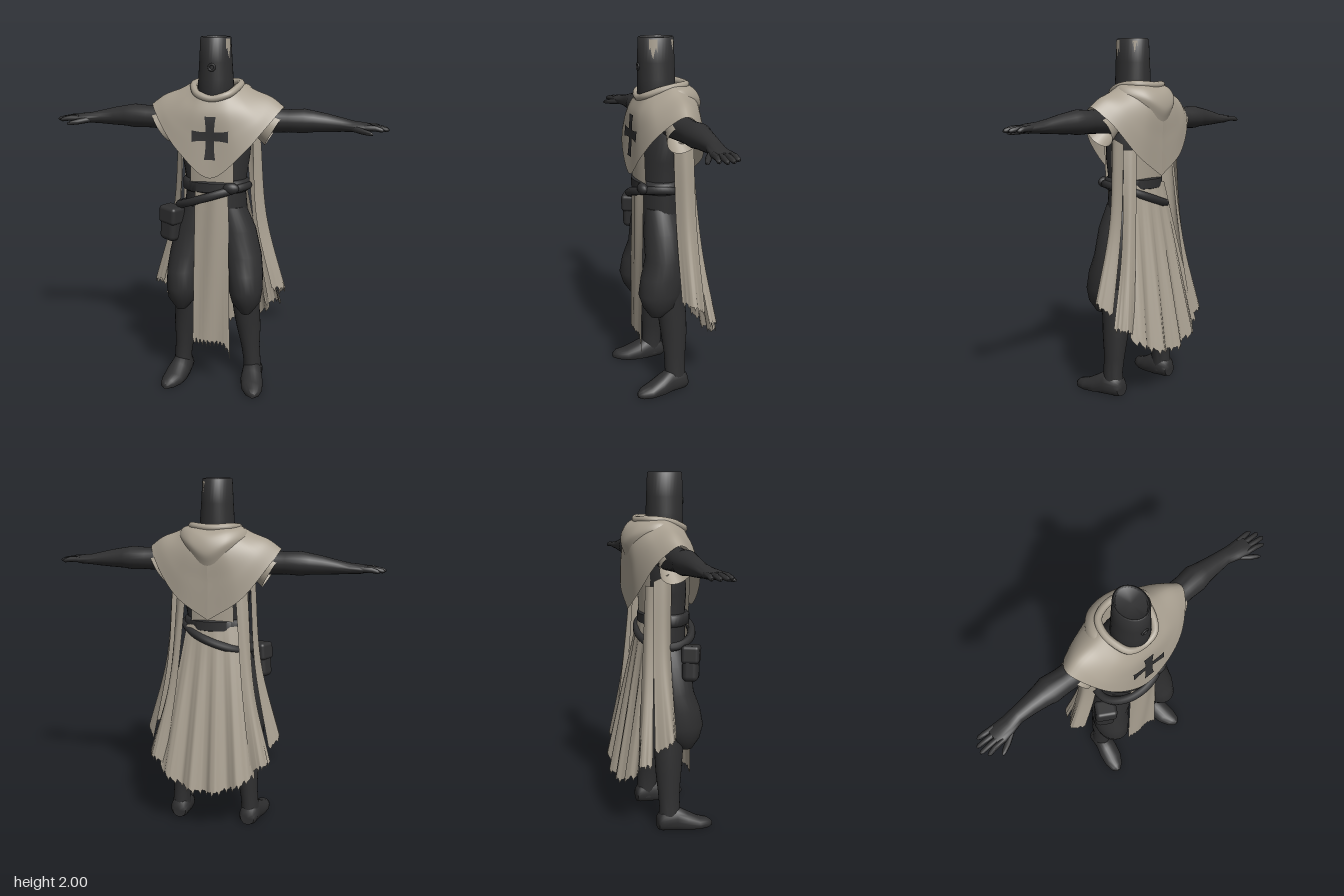
import * as THREE from 'three';
import { toCreasedNormals } from 'three/addons/utils/BufferGeometryUtils.js';
import { RoundedBoxGeometry } from 'three/addons/geometries/RoundedBoxGeometry.js';

const V = (p) => new THREE.Vector3(...p);

// grid surface from fn(u, v) -> [x, y, z]
function sheet(nu, nv, fn) {
  const pos = [], idx = [];
  for (let j = 0; j <= nv; j++) for (let i = 0; i <= nu; i++) pos.push(...fn(i / nu, j / nv));
  for (let j = 0; j < nv; j++) for (let i = 0; i < nu; i++) {
    const a = j * (nu + 1) + i, b = a + 1, c = a + nu + 1, d = c + 1;
    idx.push(a, c, b, b, c, d);
  }
  const g = new THREE.BufferGeometry();
  g.setAttribute('position', new THREE.Float32BufferAttribute(pos, 3));
  g.setIndex(idx);
  g.computeVertexNormals();
  return g;
}

const jag = (u) => 0.012 * Math.sin(u * 23) + 0.009 * Math.sin(u * 47 + 1);

// smooth cloth through rows of control points, with a ragged last row
function net(rows, nu, nv, rag = 0) {
  const curves = rows.map((r) => new THREE.CatmullRomCurve3(r.map(V)));
  const columns = [];
  for (let i = 0; i <= nu; i++) columns.push(new THREE.CatmullRomCurve3(curves.map((c) => c.getPoint(i / nu))));
  return sheet(nu, nv, (u, v) => {
    const p = columns[Math.round(u * nu)].getPoint(v);
    p.y += rag * jag(u * 2) * v ** 4;
    return p.toArray();
  });
}

// mirror a half row that starts on the centre line
const both = (half) => [...half.slice(1).reverse().map(([x, y, z]) => [-x, y, z]), ...half];

// closed body from elliptical rings [x, y, z, a, b] across an axis
function loft(axis, rings, seg = 24, floor = -1) {
  const all = [[...rings[0].slice(0, 3), 0, 0], ...rings, [...rings.at(-1).slice(0, 3), 0, 0]];
  const g = sheet(seg, all.length - 1, (u, v) => {
    const [x, y, z, a, b] = all[Math.round(v * (all.length - 1))];
    const c = a * Math.cos(u * Math.PI * 2), s = b * Math.sin(u * Math.PI * 2);
    if (axis === 'y') return [x + c, y, z + s];
    if (axis === 'x') return [x, y + c, z + s];
    return [x + c, Math.max(floor, y + s), z];
  });
  // turn the faces outward
  const p = g.attributes.position, ix = g.index.array;
  const q = [0, 1, 2].map(() => new THREE.Vector3());
  const base = V(rings[0].slice(0, 3));
  let vol = 0;
  for (let i = 0; i < ix.length; i += 3) {
    q.forEach((w, k) => w.fromBufferAttribute(p, ix[i + k]).sub(base));
    vol += q[0].dot(q[1].clone().cross(q[2]));
  }
  if (vol < 0) flip(g);
  return toCreasedNormals(g, 0.9);
}

function flip(g) {
  const ix = g.index.array;
  for (let i = 0; i < ix.length; i += 3) [ix[i], ix[i + 1]] = [ix[i + 1], ix[i]];
}

export function createModel() {
  const root = new THREE.Group();
  const cloth = new THREE.MeshStandardMaterial({ color: 0xa89f90, side: THREE.DoubleSide });
  cloth.name = 'pale cloth';
  const dark = new THREE.MeshStandardMaterial({ color: 0x2f2f30 });
  dark.name = 'dark leather';
  const add = (name, geo, mat = dark) => {
    const m = new THREE.Mesh(geo, mat);
    m.name = name;
    root.add(m);
    return m;
  };

  // body and helmet
  add('torso', loft('y', [[0, 0.9, 0.06, 0.15, 0.1], [0, 1.05, 0.05, 0.18, 0.12], [0, 1.2, 0.05, 0.165, 0.115],
    [0, 1.35, 0.05, 0.19, 0.12], [0, 1.5, 0.03, 0.2, 0.13], [0, 1.6, 0.02, 0.17, 0.11], [0, 1.7, 0.03, 0.08, 0.08]], 32));
  add('helmet', loft('y', [[0, 1.62, 0.05, 0.085, 0.09], [0, 1.69, 0.055, 0.1, 0.105], [0, 1.78, 0.055, 0.095, 0.104],
    [0, 1.87, 0.056, 0.089, 0.102], [0, 1.995, 0.057, 0.082, 0.098], [0, 2, 0.057, 0.076, 0.092], [0, 1.99, 0.057, 0.068, 0.084]], 32));
  add('helmetRivet', new THREE.TorusGeometry(0.016, 0.006, 8, 20).translate(0, 1.845, 0.158));
  const scuff = (a0, a1, y0, y1) => add('helmetScuff', sheet(6, 3, (u, v) => {
    const a = a0 + (a1 - a0) * u, y = y1 + (y0 + 0.03 * Math.sin(u * 9) - y1) * v, k = (2 - y) * 0.054;
    return [(0.0845 + k) * Math.cos(a), y, 0.057 + (0.1 + k * 0.6) * Math.sin(a)];
  }), cloth);
  scuff(0.2, 0.65, 1.92, 1.992);
  scuff(-0.95, -0.65, 1.95, 1.985);

  // arms, hands, legs and feet on both sides
  for (const s of [1, -1]) {
    const side = s > 0 ? 'left' : 'right';
    const limb = (name, axis, rings, seg, floor) =>
      add(side + name, loft(axis, rings.map(([x, ...r]) => [x * s, ...r]), seg, floor));
    limb('Arm', 'x', [[0.12, 1.56, 0.02, 0.08, 0.08], [0.3, 1.555, 0.015, 0.066, 0.07], [0.4, 1.555, 0.01, 0.062, 0.068],
      [0.48, 1.556, 0.005, 0.066, 0.074], [0.53, 1.555, 0.005, 0.058, 0.062], [0.6, 1.55, 0.005, 0.05, 0.052],
      [0.68, 1.543, 0.005, 0.038, 0.044], [0.74, 1.538, 0.015, 0.029, 0.05], [0.8, 1.536, 0.02, 0.025, 0.056], [0.835, 1.536, 0.02, 0.016, 0.052]]);
    [[-0.02, -0.025, 0.9], [0.008, 0.008, 0.925], [0.036, 0.042, 0.93], [0.06, 0.073, 0.905]].forEach(([z0, z1, tip]) =>
      limb('Finger', 'x', [[0.8, 1.538, z0, 0.016, 0.014], [0.86, 1.537, (z0 + z1) / 2, 0.015, 0.014],
        [tip - 0.012, 1.53, z1, 0.012, 0.012], [tip, 1.528, z1, 0.005, 0.005]], 10));
    limb('Thumb', 'x', [[0.735, 1.532, 0.045, 0.018, 0.016], [0.79, 1.522, 0.08, 0.016, 0.018],
      [0.835, 1.515, 0.104, 0.012, 0.014], [0.85, 1.512, 0.112, 0.005, 0.006]], 10);
    limb('Trouser', 'y', [[0.09, 1.08, 0.06, 0.08, 0.09], [0.12, 0.95, 0.06, 0.11, 0.11], [0.155, 0.8, 0.065, 0.11, 0.108],
      [0.175, 0.7, 0.085, 0.102, 0.122], [0.182, 0.6, 0.1, 0.096, 0.125], [0.187, 0.53, 0.105, 0.082, 0.098], [0.19, 0.465, 0.12, 0.03, 0.04]]);
    limb('Boot', 'y', [[0.175, 0.62, 0.05, 0.08, 0.085], [0.175, 0.45, 0.025, 0.077, 0.082], [0.188, 0.34, 0.02, 0.07, 0.075],
      [0.2, 0.22, 0.018, 0.054, 0.063], [0.21, 0.13, 0.02, 0.05, 0.06], [0.212, 0.03, 0.015, 0.055, 0.062]]);
    limb('Foot', 'z', [[0.21, 0.04, -0.05, 0.04, 0.04], [0.212, 0.05, -0.03, 0.055, 0.06], [0.215, 0.05, 0.05, 0.058, 0.085],
      [0.225, 0.035, 0.11, 0.066, 0.065], [0.238, 0.02, 0.18, 0.062, 0.042], [0.25, 0.018, 0.235, 0.042, 0.032], [0.255, 0.015, 0.26, 0.015, 0.015]], 24, 0);

    // short sleeve
    const sleeve = new THREE.CylinderGeometry(0.075, 0.103, 0.13, 28, 3, true).scale(1, 1, 0.9);
    add(side + 'Sleeve', sleeve.rotateZ(s * 1.03).translate(s * 0.265, 1.54, 0.015), cloth);

    // long side drapes of the cape
    const drape = (name, rows) => add(side + name, net(rows.map((r) => r.map(([x, y, z]) => [x * s, y, z])), 20, 14, 1), cloth);
    drape('Drape', [[[0.2, 1.47, 0.03], [0.235, 1.46, -0.02], [0.22, 1.43, -0.08]],
      [[0.225, 1.0, 0.02], [0.275, 1.0, -0.03], [0.25, 1.0, -0.09]],
      [[0.32, 0.58, 0.02], [0.39, 0.57, -0.03], [0.34, 0.51, -0.11]]]);
    drape('RearDrape', [[[0.2, 1.4, -0.06], [0.17, 1.4, -0.09], [0.14, 1.4, -0.1]],
      [[0.25, 0.85, -0.09], [0.235, 0.85, -0.13], [0.19, 0.85, -0.14]],
      [[0.355, 0.44, -0.13], [0.32, 0.43, -0.19], [0.25, 0.4, -0.18]]]);
  }

  // shoulder mantle, from collar down to the pointed hem
  const mantle = add('mantle', net([
    [[0, 1.68, 0.16], [0.08, 1.7, 0.14], [0.12, 1.73, 0.08], [0.135, 1.755, 0.01], [0.11, 1.76, -0.06], [0.06, 1.755, -0.1], [0, 1.755, -0.11]],
    [[0, 1.6, 0.19], [0.1, 1.61, 0.18], [0.18, 1.65, 0.13], [0.21, 1.715, 0.01], [0.18, 1.68, -0.09], [0.1, 1.64, -0.15], [0, 1.63, -0.165]],
    [[0, 1.44, 0.2], [0.13, 1.5, 0.195], [0.25, 1.58, 0.14], [0.3, 1.68, 0.01], [0.26, 1.62, -0.09], [0.15, 1.5, -0.155], [0, 1.45, -0.165]],
    [[0, 1.26, 0.215], [0.18, 1.4, 0.2], [0.29, 1.53, 0.14], [0.37, 1.63, 0.02], [0.32, 1.55, -0.08], [0.18, 1.37, -0.15], [0, 1.25, -0.16]],
  ].map(both), 96, 24), cloth);

  // rolled collar and lowered hood
  const roll = [[0, 1.68, 0.155], [0.08, 1.7, 0.14], [0.12, 1.73, 0.07], [0.128, 1.745, 0], [0.1, 1.75, -0.07], [0, 1.745, -0.105]];
  const ring = new THREE.CatmullRomCurve3(both(roll).slice(1).map(V), true);
  add('collar', new THREE.TubeGeometry(ring, 64, 0.02, 10, true), cloth);
  add('hood', net([
    [[0, 1.75, -0.1], [0.08, 1.755, -0.08], [0.13, 1.75, 0], [0.13, 1.73, 0.06]],
    [[0, 1.7, -0.165], [0.11, 1.725, -0.12], [0.175, 1.735, -0.02], [0.16, 1.7, 0.07]],
    [[0, 1.62, -0.19], [0.11, 1.67, -0.155], [0.19, 1.705, -0.04], [0.18, 1.67, 0.08]],
    [[0, 1.55, -0.17], [0.11, 1.62, -0.145], [0.19, 1.68, -0.05], [0.19, 1.64, 0.11]],
  ].map(both), 48, 16), cloth);

  // cross laid on the mantle
  const ray = new THREE.Raycaster();
  mantle.updateMatrixWorld();
  for (const [w, h, turned] of [[0.046, 0.23, false], [0.046, 0.2, true]]) {
    const g = new THREE.PlaneGeometry(w, h, 4, 16), p = g.attributes.position;
    for (let i = 0; i < p.count; i++) p.setX(i, p.getX(i) * (1 + 0.35 * (Math.abs(p.getY(i)) / h * 2) ** 3));
    if (turned) g.rotateZ(Math.PI / 2);
    g.translate(0, turned ? 1.485 : 1.475, 0);
    for (let i = 0; i < p.count; i++) {
      ray.set(new THREE.Vector3(p.getX(i) + 1e-5, p.getY(i) + 1e-5, 1), new THREE.Vector3(0, 0, -1));
      const hit = ray.intersectObject(mantle)[0];
      p.setZ(i, (hit ? hit.point.z : 0.2) + 0.006);
    }
    g.computeVertexNormals();
    add('cross', g);
  }

  // surcoat panels above the belt
  for (const f of [1, -1]) add(f > 0 ? 'chestPanel' : 'backPanel', sheet(16, 6, (u, v) => {
    const x = (u - 0.5) * 0.24;
    return [x, 1.46 - 0.28 * v, 0.05 + f * (0.142 - 0.012 * v) * Math.sqrt(1 - (x / 0.21) ** 2)];
  }), cloth);

  // front tabard with a torn hem
  add('tabard', sheet(40, 20, (u, v) => {
    const t = u * 2 - 1, hem = 0.285 - 0.08 * Math.max(0, t) ** 6 + 1.3 * jag(t * 1.3);
    return [t * (0.092 + 0.018 * v), 1.18 + (hem - 1.18) * v, 0.187 - 0.02 * t * t * (1 - v) + 0.004 * Math.sin(t * 5 + v * 3)];
  }), cloth);

  // pleated back skirt
  add('backSkirt', sheet(60, 20, (u, v) => {
    const t = u * 2 - 1, hem = 0.265 + 0.11 * t * t + jag(t * 2);
    return [t * (0.15 + 0.13 * v), 1.2 + (hem - 1.2) * v,
      -0.085 + 0.035 * t * t * (1 - v) + v * (-0.155 + 0.04 * t * t - 0.018 * Math.cos(t * 13 + 2.5))];
  }), cloth);

  // belts, knot and pouch
  add('waistBelt', loft('y', [[0, 1.165, 0.05, 0.175, 0.13], [0, 1.175, 0.05, 0.187, 0.143],
    [0, 1.225, 0.05, 0.187, 0.143], [0, 1.235, 0.05, 0.175, 0.13]], 40));
  const loop = [];
  for (let i = 0; i < 24; i++) {
    const a = i / 24 * Math.PI * 2, x = -0.015 + 0.195 * Math.cos(a);
    loop.push(new THREE.Vector3(x, 1.135 + 0.33 * x + 0.02 * Math.sin(a), 0.05 + 0.15 * Math.sin(a)));
  }
  add('slungBelt', new THREE.TubeGeometry(new THREE.CatmullRomCurve3(loop, true), 64, 0.024, 8, true));
  add('beltKnot', new THREE.SphereGeometry(0.035, 16, 12).scale(1.3, 0.9, 0.8).translate(0.11, 1.2, 0.175));
  const pouch = new THREE.Group();
  pouch.name = 'pouch';
  const bag = new THREE.Mesh(new RoundedBoxGeometry(0.11, 0.19, 0.09, 4, 0.03), dark);
  bag.name = 'pouchBag';
  const flap = new THREE.Mesh(new RoundedBoxGeometry(0.12, 0.1, 0.1, 4, 0.02).translate(0, 0.055, 0), dark);
  flap.name = 'pouchFlap';
  pouch.add(bag, flap);
  pouch.position.set(-0.242, 0.97, 0.13);
  pouch.rotation.set(0, -0.5, -0.08);
  root.add(pouch);
  return root;
}
